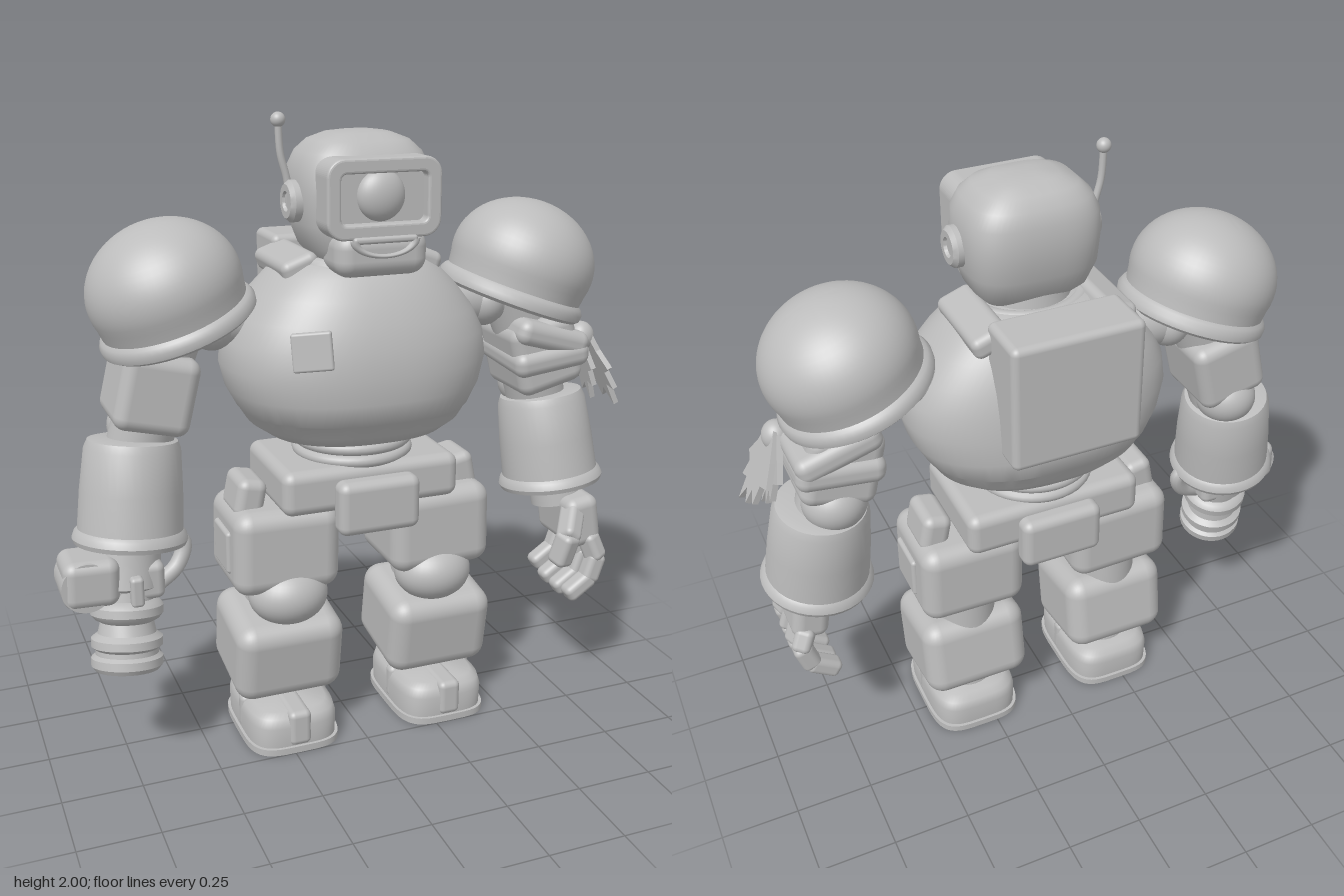
import * as THREE from 'three';
import { toCreasedNormals } from 'three/addons/utils/BufferGeometryUtils.js';
import { RoundedBoxGeometry } from 'three/addons/geometries/RoundedBoxGeometry.js';

const V = (x, y, z) => new THREE.Vector3(x, y, z);
const UP = V(0, 1, 0);

// Closed skin through squarish rings; each ring is [y, half width, front z, back z]
function loft(rings, power, n = 56, crease = 0.9) {
  const pos = [], idx = [];
  const sp = v => Math.sign(v) * Math.abs(v) ** power;
  const [lo, hi] = [rings[0], rings[rings.length - 1]];
  const all = [[lo[0], 0, 0, 0], ...rings, [hi[0], 0, 0, 0]];
  all.forEach(([y, w, f, b], i) => {
    for (let j = 0; j < n; j++) {
      const a = j / n * Math.PI * 2, s = sp(Math.sin(a));
      pos.push(w * sp(Math.cos(a)), y, s > 0 ? s * f : -s * b);
      if (i === all.length - 1) continue;
      const k = (j + 1) % n, p = i * n + j, q = i * n + k;
      idx.push(p, p + n, q, q, p + n, q + n);
    }
  });
  const g = new THREE.BufferGeometry();
  g.setAttribute('position', new THREE.Float32BufferAttribute(pos, 3));
  g.setIndex(idx);
  return toCreasedNormals(g, crease);
}

const rbox = (w, h, d, r = 0.03) => new RoundedBoxGeometry(w, h, d, 4, r);
const lathe = (pts, n = 40) =>
  toCreasedNormals(new THREE.LatheGeometry(pts.map(p => new THREE.Vector2(...p)), n), 0.6);

function roundRect(w, h, r, C = THREE.Shape) {
  const s = new C(), x = w / 2 - r, y = h / 2 - r;
  s.absarc(x, y, r, 0, Math.PI / 2);
  s.absarc(-x, y, r, Math.PI / 2, Math.PI);
  s.absarc(-x, -y, r, Math.PI, Math.PI * 1.5);
  s.absarc(x, -y, r, Math.PI * 1.5, Math.PI * 2);
  return s;
}

export function createModel() {
  const root = new THREE.Group();
  root.name = 'robot';
  const body = new THREE.Group();
  body.name = 'body';
  body.position.x = 0.035;
  root.add(body);
  const grey = new THREE.MeshStandardMaterial({ color: 0xbcbcbc });
  grey.name = 'plain grey';

  const add = (name, geo, p = [0, 0, 0], r = [0, 0, 0], s = [1, 1, 1]) => {
    const m = new THREE.Mesh(geo, grey);
    m.name = name;
    m.position.set(...p);
    m.rotation.set(...r);
    m.scale.set(...s);
    body.add(m);
    return m;
  };
  const ball = (name, p, s) => add(name, new THREE.SphereGeometry(1, 36, 24), p, [0, 0, 0], s);
  // Lay a geometry's y axis along a to b, centred between them
  const along = (name, geo, a, b) => {
    const A = V(...a), B = V(...b);
    const m = add(name, geo, A.clone().lerp(B, 0.5).toArray());
    m.quaternion.setFromUnitVectors(UP, B.sub(A).normalize());
    return m;
  };
  const dist = (a, b) => V(...a).distanceTo(V(...b));
  const rod = (name, a, b, r1, r2 = r1) =>
    along(name, new THREE.CylinderGeometry(r2, r1, dist(a, b), 32), a, b);
  const block = (name, a, b, w, d) =>
    along(name, rbox(w, dist(a, b) + 0.025, d, 0.02), a, b);

  // Torso
  add('torso', loft([
    [1.01, 0.23, 0.21, -0.17], [1.025, 0.29, 0.26, -0.21], [1.06, 0.34, 0.295, -0.24],
    [1.10, 0.365, 0.31, -0.255], [1.105, 0.37, 0.318, -0.26], [1.17, 0.405, 0.33, -0.265],
    [1.25, 0.425, 0.333, -0.26], [1.33, 0.415, 0.32, -0.25], [1.4, 0.38, 0.298, -0.235],
    [1.47, 0.325, 0.265, -0.21], [1.53, 0.265, 0.225, -0.18], [1.56, 0.22, 0.19, -0.15],
    [1.575, 0.17, 0.16, -0.12]], 0.84, 72));
  add('chestPatch', rbox(0.12, 0.115, 0.03, 0.008), [-0.23, 1.34, 0.283], [-0.12, -0.4, 0.04]);
  for (const s of [-1, 1])
    add('shoulderStrap', rbox(0.12, 0.07, 0.3, 0.025), [s * 0.2, 1.55, -0.03], [0, 0, -s * 0.35]);
  add('backpack', rbox(0.415, 0.41, 0.19, 0.022), [0, 1.405, -0.235]);
  add('collar', new THREE.TorusGeometry(0.17, 0.03, 14, 48), [0, 1.55, 0.045], [Math.PI / 2, 0, 0], [1, 0.85, 1]);
  add('neck', new THREE.CylinderGeometry(0.13, 0.15, 0.13, 40), [0, 1.55, 0.05]);

  // Head
  add('head', loft([
    [1.55, 0.1, 0.12, -0.05], [1.565, 0.135, 0.155, -0.08], [1.61, 0.175, 0.17, -0.13],
    [1.68, 0.2, 0.175, -0.16], [1.77, 0.208, 0.178, -0.167], [1.84, 0.203, 0.17, -0.163],
    [1.885, 0.182, 0.15, -0.145], [1.918, 0.147, 0.12, -0.115], [1.938, 0.095, 0.08, -0.075],
    [1.945, 0.04, 0.035, -0.03]], 0.62), [0, 0, 0.05]);
  const frame = roundRect(0.34, 0.215, 0.045);
  frame.holes.push(roundRect(0.285, 0.16, 0.025, THREE.Path));
  add('visorFrame', new THREE.ExtrudeGeometry(frame, {
    depth: 0.1, bevelSize: 0.008, bevelThickness: 0.008, bevelSegments: 3, curveSegments: 8,
  }), [0, 1.767, 0.165]);
  add('visorScreen', rbox(0.3, 0.18, 0.06, 0.01), [0, 1.767, 0.205]);
  ball('eye', [0, 1.772, 0.232], [0.075, 0.075, 0.045]);
  add('jaw', rbox(0.29, 0.135, 0.17, 0.05), [0, 1.605, 0.19]);
  add('lowerLip', new THREE.TorusGeometry(0.095, 0.014, 10, 32, Math.PI), [0, 1.65, 0.272], [0, 0, Math.PI], [1, 0.5, 1]);
  add('upperLip', rbox(0.2, 0.02, 0.03, 0.009), [0, 1.65, 0.268]);
  for (const s of [-1, 1]) {
    add('earCup', lathe([[0, -0.03], [0.062, -0.03], [0.062, 0.012], [0.05, 0.025], [0.03, 0.025], [0.027, 0.015], [0, 0.015]], 32),
      [s * 0.21, 1.745, 0.07], [0, 0, -s * Math.PI / 2]);
  }
  add('antenna', new THREE.TubeGeometry(new THREE.CatmullRomCurve3([
    V(-0.215, 1.7, 0.045), V(-0.22, 1.8, 0.045), V(-0.24, 1.88, 0.045), V(-0.246, 1.975, 0.045)]), 20, 0.011, 10));
  ball('antennaTip', [-0.246, 1.978, 0.045], [0.022, 0.022, 0.022]);

  // Waist and pelvis
  add('waist', new THREE.CylinderGeometry(0.17, 0.17, 0.12, 40), [0, 0.97, 0.01]);
  for (const y of [0.945, 0.985])
    add('waistRing', new THREE.TorusGeometry(0.175, 0.02, 12, 44), [0, y, 0.01], [Math.PI / 2, 0, 0]);
  add('pelvis', rbox(0.59, 0.145, 0.39, 0.035), [0, 0.865, 0.01]);
  add('frontBeltBox', rbox(0.27, 0.175, 0.08, 0.03), [0, 0.818, 0.23]);
  add('backBeltBox', rbox(0.27, 0.175, 0.08, 0.03), [0, 0.818, -0.2]);

  // Legs
  for (const s of [-1, 1]) {
    const x = s * 0.265;
    add('thigh', rbox(0.35, 0.28, 0.32, 0.055), [x, 0.66, 0.01], [0, 0, s * 0.02]);
    add('hipPouch', rbox(0.095, 0.13, 0.17, 0.03), [s * 0.365, 0.825, 0.01], [0, 0, s * 0.2]);
    add('thighPocket', rbox(0.03, 0.14, 0.15, 0.012), [s * 0.437, 0.66, 0.02]);
    ball('knee', [s * 0.255, 0.5, 0.1], [0.13, 0.1, 0.115]);
    rod('kneeJoint', [x, 0.42, -0.02], [x, 0.55, -0.02], 0.1);
    add('shin', rbox(0.36, 0.275, 0.33, 0.06), [x, 0.305, 0.02], [0.16, 0, 0]);
    add('ankle', new THREE.CylinderGeometry(0.085, 0.1, 0.12, 32), [x, 0.15, 0.005]);
    add('sole', loft([[0, 0.157, 0.205, -0.205], [0.022, 0.157, 0.205, -0.205]], 0.5), [x, 0, 0.045]);
    add('foot', loft([[0.015, 0.148, 0.195, -0.195], [0.09, 0.15, 0.198, -0.198],
      [0.12, 0.142, 0.188, -0.19], [0.135, 0.12, 0.165, -0.165]], 0.5), [x, 0, 0.045]);
    add('footStrap', rbox(0.075, 0.12, 0.22, 0.02), [x, 0.082, 0.14]);
    add('instepBand', rbox(0.3, 0.12, 0.05, 0.02), [x, 0.08, 0.06]);
  }

  // Shoulders and arms
  const dome = [[0, -0.07], [0.19, -0.12], [0.23, -0.135], [0.243, -0.125], [0.245, -0.105], [0.236, -0.088], [0.226, -0.08]];
  for (let i = -2; i <= 14; i++) {
    const a = i / 14 * Math.PI / 2;
    dome.push([Math.max(0, 0.236 * Math.cos(a)), 0.2 * Math.sin(a)]);
  }
  for (const s of [-1, 1]) {
    add('shoulderPad', lathe(dome, 56), [s * 0.595, 1.505, 0.015], [0.05, 0, -s * 0.34]);
    rod('shoulderJoint', [s * 0.3, 1.39, 0], [s * 0.5, 1.4, 0], 0.085);
    ball('shoulderBall', [s * 0.455, 1.385, 0], [0.075, 0.085, 0.1]);
    rod('upperArm', [s * 0.65, 1.15, 0], [s * 0.55, 1.45, 0], 0.085, 0.1);
    add('armGuard', rbox(0.235, 0.24, 0.27, 0.04), [s * 0.65, 1.205, 0], [0, 0, s * 0.24]);
    rod('elbow', [s * 0.7, 0.98, -0.02], [s * 0.66, 1.12, -0.01], 0.1);
    ball('elbowCap', [s * 0.675, 1.07, -0.06], [0.1, 0.09, 0.1]);
    along('forearm', lathe([[0, -0.145], [0.15, -0.165], [0.172, -0.165], [0.178, -0.15], [0.172, -0.13],
      [0.162, -0.12], [0.158, 0], [0.148, 0.13], [0.138, 0.155], [0.11, 0.162], [0, 0.162]]),
    [s * 0.74, 0.72, 0.025], [s * 0.705, 1.05, -0.02]);
    rod('wrist', [s * 0.755, 0.66, 0.05], [s * 0.74, 0.78, 0.03], 0.09);
  }

  // Cloth tied around the left arm
  for (const [y, t] of [[1.27, -0.28], [1.2, 0.12]])
    add('armWrap', rbox(0.27, 0.085, 0.31, 0.035), [0.66, y, 0], [0.06, 0, t]);
  ball('clothKnot', [0.79, 1.25, 0.08], [0.045, 0.05, 0.045]);
  const rag = new THREE.Shape([[0.03, 0.02], [-0.03, 0.02], [-0.06, -0.06], [-0.1, -0.12], [-0.07, -0.14],
    [-0.09, -0.2], [-0.055, -0.19], [-0.06, -0.27], [-0.025, -0.21], [0.0, -0.25], [0.015, -0.19], [0.05, -0.22],
    [0.06, -0.15], [0.11, -0.13], [0.075, -0.06]].map(p => new THREE.Vector2(...p)));
  const ragGeo = new THREE.ExtrudeGeometry(rag, { depth: 0.018, bevelEnabled: false }).rotateY(Math.PI / 2);
  add('clothTail', ragGeo, [0.795, 1.26, 0.075], [0, 0, 0.42]);
  add('clothTailInner', ragGeo, [0.785, 1.25, 0.06], [0.15, 0, 0.28], [1, 0.85, 0.8]);

  // Left hand with curled fingers
  add('palm', rbox(0.12, 0.18, 0.25, 0.035), [0.785, 0.62, 0.075], [0, 0, 0.15]);
  [0.175, 0.105, 0.035, -0.03].forEach((z, i) => {
    const d = [0.01, 0, 0.005, 0.03][i], k = z + (z - 0.07) * 0.15;
    const path = [[0.81, 0.56, z], [0.835, 0.48 + d, k], [0.81, 0.405 + d, k], [0.735, 0.355 + d, k]];
    for (let j = 0; j < 3; j++) block('finger', path[j], path[j + 1], 0.068 - j * 0.004, 0.062);
  });
  const thumb = [[0.76, 0.67, 0.15], [0.695, 0.6, 0.235], [0.675, 0.51, 0.22]];
  for (let j = 0; j < 2; j++) block('thumb', thumb[j], thumb[j + 1], 0.072, 0.068);

  // Right hand cannon with an open bore
  along('cannon', lathe([[0, -0.1], [0.055, -0.1], [0.06, -0.19], [0.075, -0.2], [0.098, -0.2], [0.11, -0.185],
    [0.11, -0.16], [0.097, -0.15], [0.097, -0.135], [0.11, -0.125], [0.11, -0.1], [0.09, -0.085], [0.082, -0.05],
    [0.1, -0.04], [0.112, -0.025], [0.112, 0], [0.1, 0.015], [0.085, 0.02], [0.085, 0.05], [0.105, 0.06],
    [0.105, 0.17], [0.09, 0.19], [0, 0.19]]), [-0.79, 0.355, 0.13], [-0.755, 0.73, 0.04]);
  const pod = new THREE.CylinderGeometry(0.078, 0.078, 0.14, 32);
  add('cannonPod', pod, [-0.9, 0.65, 0.095], [Math.PI / 2, 0, 0]);
  add('podHousing', rbox(0.17, 0.15, 0.17, 0.035), [-0.885, 0.655, 0.09], [0, 0, -0.04]);
  add('cannonMount', rbox(0.19, 0.12, 0.17, 0.025), [-0.755, 0.63, 0.065]);
  add('cannonLatch', rbox(0.04, 0.095, 0.05, 0.012), [-0.755, 0.62, 0.165]);
  add('cannonHandle', new THREE.TubeGeometry(new THREE.CatmullRomCurve3([
    V(-0.65, 0.75, 0.03), V(-0.575, 0.7, 0.03), V(-0.6, 0.63, 0.045), V(-0.68, 0.58, 0.07)]), 20, 0.026, 12));
  return root;
}
